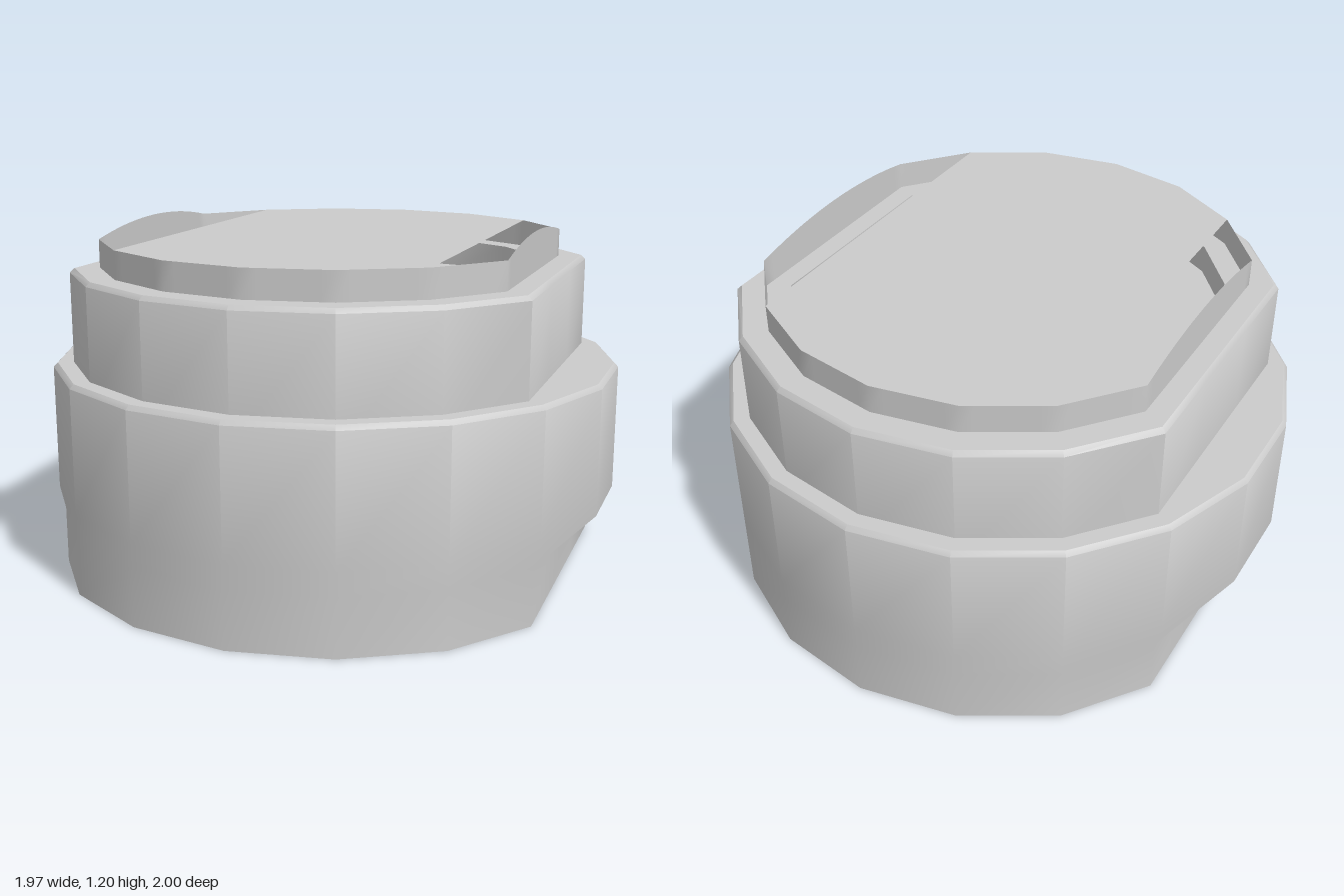
import * as THREE from 'three';
import { toCreasedNormals } from 'three/addons/utils/BufferGeometryUtils.js';

const SIDES = 18;
const material = new THREE.MeshStandardMaterial({ color: 0xcccccc, side: THREE.DoubleSide });

// 18-sided outline of radius r, flattened at x = +-clip; each edge split into `split` pieces
function outline(r, clip = 9, split = 1) {
  const corners = [];
  for (let i = 0; i < SIDES; i++) {
    const a = (i / SIDES) * Math.PI * 2;
    corners.push(new THREE.Vector2(THREE.MathUtils.clamp(r * Math.sin(a), -clip, clip), r * Math.cos(a)));
  }
  const points = [];
  corners.forEach((p, i) => {
    for (let k = 0; k < split; k++) points.push(p.clone().lerp(corners[(i + 1) % SIDES], k / split));
  });
  return points;
}

// Wall through a stack of outlines; each level is [outline, height or height rule]
function wall(name, levels) {
  const n = levels[0][0].length, position = [], index = [];
  for (const [points, y] of levels) {
    for (const p of points) position.push(p.x, typeof y === 'function' ? y(p) : y, p.y);
  }
  for (let j = 0; j < levels.length - 1; j++) {
    for (let i = 0; i < n; i++) {
      const a = j * n + i, b = j * n + (i + 1) % n;
      index.push(a, b, b + n, a, b + n, a + n);
    }
  }
  const geometry = new THREE.BufferGeometry();
  geometry.setAttribute('position', new THREE.Float32BufferAttribute(position, 3));
  geometry.setIndex(index);
  const mesh = new THREE.Mesh(toCreasedNormals(geometry, 0.82), material);
  mesh.name = name;
  return mesh;
}

// Horizontal plate, optionally with a hole
function plate(name, points, y, hole) {
  const flip = (list) => list.map((p) => new THREE.Vector2(p.x, -p.y));
  const shape = new THREE.Shape(flip(points));
  if (hole) shape.holes.push(new THREE.Path(flip(hole)));
  const geometry = new THREE.ShapeGeometry(shape).rotateX(-Math.PI / 2).translate(0, y, 0);
  const mesh = new THREE.Mesh(geometry, material);
  mesh.name = name;
  return mesh;
}

export function createModel() {
  const model = new THREE.Group();
  const bevel = 0.015;

  // Base: open underneath, flat lower sides flaring out to the full round
  const base = new THREE.Group();
  base.name = 'base';
  base.add(
    wall('baseWall', [
      [outline(1, 0.845), 0],
      [outline(1, 0.845), 0.2],
      [outline(1), 0.28],
      [outline(1), 0.73 - bevel],
      [outline(1 - bevel), 0.73],
    ]),
    plate('baseTop', outline(1 - bevel), 0.73),
  );

  // Middle tier: flat sides, a collar reaching down into the base, a recess on top
  const middle = new THREE.Group();
  middle.name = 'middleTier';
  const recess = outline(0.75, 0.643);
  const middleTop = outline(0.93 - bevel, 0.805 - bevel);
  middle.add(
    wall('middleWall', [
      [outline(0.93, 0.805), 0.63],
      [outline(0.93, 0.805), 1.06 - bevel],
      [middleTop, 1.06],
    ]),
    plate('middleTop', middleTop, 1.06, recess),
    wall('recessWall', [[recess, 1.06], [recess, 0.96]]),
    plate('recessFloor', recess, 0.96),
  );

  // Cap: thin rim arching up along both sides, with a narrower plate across it
  const cap = new THREE.Group();
  cap.name = 'cap';
  const rim = outline(0.83, 0.715, 6);
  const archTop = (p) => 1.157 + 0.042 * Math.max(0, 1 - (p.y / 0.415) ** 2) * (Math.abs(p.x) > 0.7 ? 1 : 0);
  cap.add(
    wall('capRim', [[rim, 1.06], [rim, archTop]]),
    plate('capPlate', outline(0.83, 0.534), 1.157),
  );

  model.add(base, middle, cap);
  return model;
}
